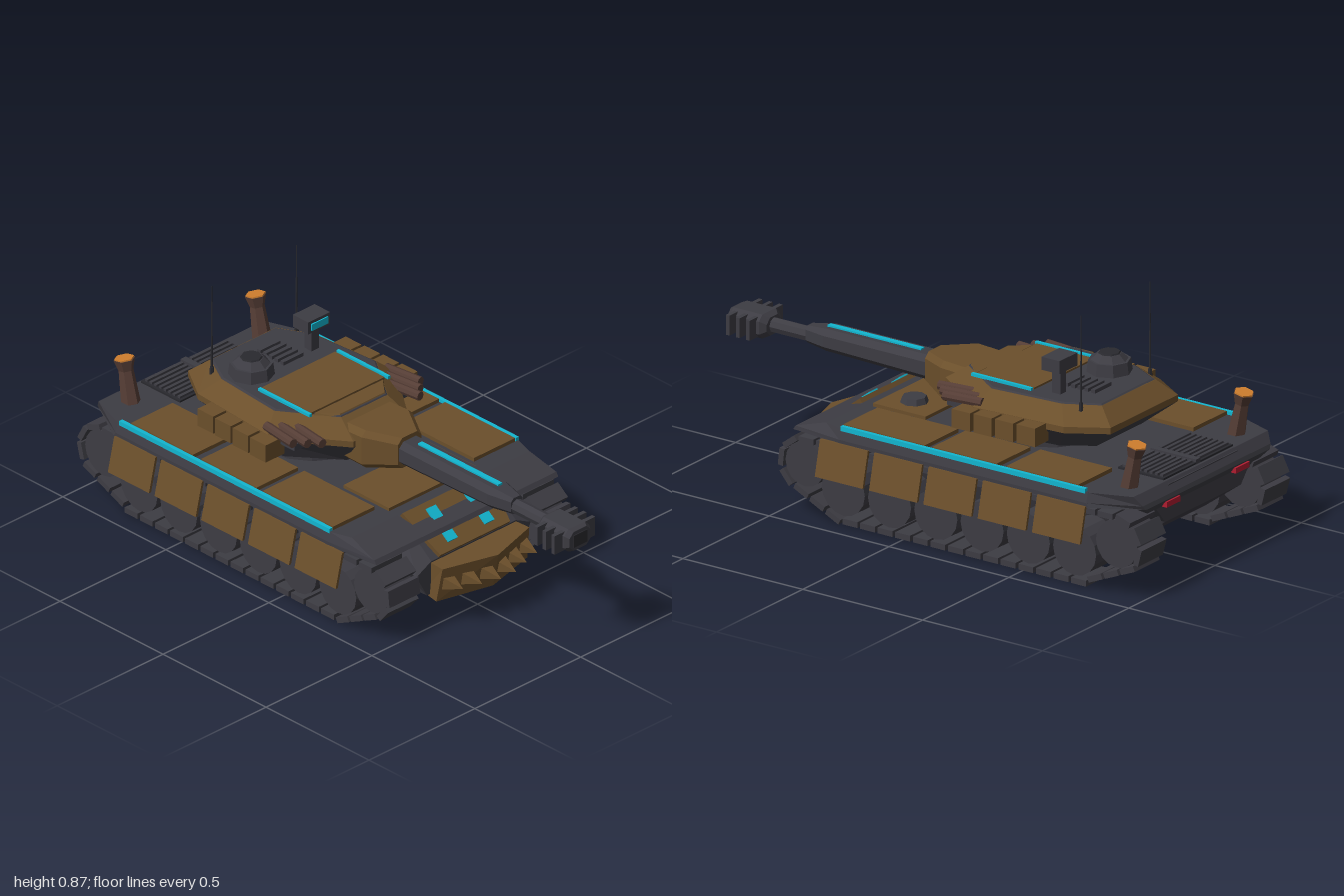
import * as THREE from 'three';

const mat = (name, color) => Object.assign(new THREE.MeshStandardMaterial({ color }), { name });

export function createModel() {
  const root = new THREE.Group();
  root.name = 'tank';
  const armor = mat('brown armor', 0x6b4f2b);
  const steel = mat('dark steel', 0x3d3c43);
  const black = mat('black recess', 0x29292e);
  const pipe = mat('rusty pipe', 0x553d35);
  const cyan = mat('cyan glow', 0x12b6d0);
  const orange = mat('orange heat', 0xd07f2e);
  const red = mat('red lamp', 0xb01c30);

  const add = (name, geo, m, x = 0, y = 0, z = 0, parent = root) => {
    const mesh = new THREE.Mesh(geo, m);
    mesh.name = name;
    mesh.position.set(x, y, z);
    parent.add(mesh);
    return mesh;
  };
  // Box given by its extents on each axis
  const block = (name, m, x0, x1, y0, y1, z0, z1) =>
    add(name, new THREE.BoxGeometry(Math.abs(x1 - x0), y1 - y0, z1 - z0), m, (x0 + x1) / 2, (y0 + y1) / 2, (z0 + z1) / 2);
  // Faceted cylinder with flat sides
  const prism = (rt, rb, h, n) => {
    const g = new THREE.CylinderGeometry(rt, rb, h, n).toNonIndexed();
    g.computeVertexNormals();
    return g;
  };
  // Closed flat-faced solid through convex rings; winding fixed by signed volume
  const loft = (rings) => {
    const tris = [], n = rings[0].length;
    for (let r = 0; r + 1 < rings.length; r++) {
      for (let i = 0; i < n; i++) {
        const j = (i + 1) % n, a = rings[r], b = rings[r + 1];
        tris.push([a[i], a[j], b[j]], [a[i], b[j], b[i]]);
      }
    }
    const last = rings[rings.length - 1];
    for (let i = 1; i + 1 < n; i++) {
      tris.push([rings[0][0], rings[0][i + 1], rings[0][i]], [last[0], last[i], last[i + 1]]);
    }
    const v = (p) => new THREE.Vector3(...p);
    const volume = tris.reduce((s, [a, b, c]) => s + v(a).dot(v(b).cross(v(c))), 0);
    if (volume < 0) tris.forEach((t) => t.reverse());
    const g = new THREE.BufferGeometry();
    g.setAttribute('position', new THREE.Float32BufferAttribute(tris.flat(2), 3));
    g.computeVertexNormals();
    return g;
  };
  // Symmetric horizontal outline from its right half [x, z]
  const plan = (y, half) => [...half.map(([x, z]) => [x, y, z]), ...half.slice().reverse().map(([x, z]) => [-x, y, z])];
  // Chamfered rectangular section across z
  const section = (w, y0, y1, z, c = 0.02) => [
    [w - c, y0, z], [w, y0 + c, z], [w, y1 - c, z], [w - c, y1, z],
    [c - w, y1, z], [-w, y1 - c, z], [-w, y0 + c, z], [c - w, y0, z]];

  // Lower hull: six-sided cross-sections along z
  const hullRing = (z, y0, ym, y1, k = 1) => [
    [0.22 * k, y0, z], [0.27 * k, ym, z], [0.2 * k, y1, z], [-0.2 * k, y1, z], [-0.27 * k, ym, z], [-0.22 * k, y0, z]];
  add('lowerHull', loft([hullRing(-0.95, 0.21, 0.27, 0.34), hullRing(-0.8, 0.1, 0.23, 0.35),
    hullRing(0.33, 0.1, 0.23, 0.35), hullRing(0.48, 0.11, 0.2, 0.235)]), steel);
  // Upper hull and fenders
  add('upperHull', loft([
    plan(0.3, [[0.36, -0.97], [0.455, -0.8], [0.455, 0.24], [0.43, 0.45]]),
    plan(0.315, [[0.37, -0.965], [0.455, -0.79], [0.455, 0.24], [0.43, 0.44]]),
    plan(0.35, [[0.39, -0.94], [0.445, -0.79], [0.445, 0.24], [0.42, 0.32]])]), steel);
  add('rearPlate', loft([
    plan(0.2, [[0.23, -0.9], [0.23, -0.8]]),
    plan(0.3, [[0.36, -0.97], [0.36, -0.8]])]), steel);

  // Glacis plate with two light panels lying on its slope
  const slope = (x, t, lift) => [x, 0.352 - 0.115 * t + lift, 0.33 + 0.15 * t + lift * 0.75];
  const slab = (xa0, xa1, xb0, xb1, t0, t1, l0, l1) => loft([l0, l1].map((l) =>
    [slope(xa0, t0, l), slope(xa1, t0, l), slope(xb1, t1, l), slope(xb0, t1, l)]));
  add('glacisPlate', slab(-0.2, 0.2, -0.165, 0.165, 0, 1, -0.01, 0.012), armor);
  for (const s of [1, -1]) {
    add('glacisLight', slab(s * 0.065, s * 0.108, s * 0.065, s * 0.108, 0.13, 0.85, 0.01, 0.018), cyan);
  }
  block('frontDeckPlate', armor, -0.205, 0.205, 0.345, 0.362, 0.06, 0.28);
  add('driverHatch', prism(0.042, 0.05, 0.022, 8), steel, 0.11, 0.372, 0.175);

  // Ram with spikes
  add('ram', loft([
    plan(0.1, [[0, 0.575], [0.215, 0.52], [0.2, 0.44]]),
    plan(0.23, [[0, 0.6], [0.205, 0.54], [0.2, 0.46]])]), armor);
  for (let i = 0; i < 6; i++) {
    const x = -0.175 + i * 0.07;
    const g = prism(0, 0.034, 0.08, 4);
    g.rotateY(Math.PI / 4).rotateX(Math.PI / 2);
    add('ramSpike', g, armor, x, 0.17, 0.621 - Math.abs(x) * 0.29);
  }

  // Engine grille
  block('engineGrille', black, -0.2, 0.2, 0.345, 0.357, -0.93, -0.74);
  block('grilleDivider', steel, -0.012, 0.012, 0.35, 0.367, -0.93, -0.74);

  const trackPath = new THREE.Path();
  trackPath.moveTo(-0.74, 0.011);
  trackPath.lineTo(0.27, 0.011);
  trackPath.absarc(0.41, 0.178, 0.091, -0.9, Math.PI / 2, false);
  trackPath.absarc(-0.89, 0.178, 0.099, Math.PI / 2, Math.PI + 0.9, false);
  trackPath.closePath();

  for (const s of [1, -1]) {
    // Running gear
    const pads = 44;
    for (let i = 0; i < pads; i++) {
      const p = trackPath.getPointAt(i / pads), t = trackPath.getTangentAt(i / pads);
      add('trackPad', new THREE.BoxGeometry(0.145, 0.021, 0.062), steel, s * 0.358, p.y, p.x).rotation.x = -Math.atan2(t.y, t.x);
    }
    const wheel = (name, r, y, z) => {
      add(name, prism(r, r, 0.12, 16), steel, s * 0.358, y, z).rotation.z = Math.PI / 2;
    };
    for (let i = 0; i < 6; i++) wheel('roadWheel', 0.09, 0.116, 0.25 - i * 0.193);
    wheel('frontWheel', 0.081, 0.178, 0.41);
    wheel('rearWheel', 0.086, 0.178, -0.89);

    // Side skirts, fender plates and light strips
    for (let i = 0; i < 5; i++) {
      const z0 = -0.79 + i * 0.2265, z1 = z0 + 0.2;
      const ring = (z) => [[s * 0.452, 0.303, z], [s * 0.462, 0.303, z], [s * 0.492, 0.176, z], [s * 0.482, 0.176, z]];
      add('skirtPlate', loft([ring(z0), ring(z1)]), armor);
    }
    for (const [z0, z1] of [[-0.74, -0.44], [-0.4, -0.13], [-0.1, 0.24]]) {
      block('fenderPlate', armor, s * 0.235, s * 0.43, 0.345, 0.364, z0, z1);
    }
    block('fenderLight', cyan, s * 0.433, s * 0.448, 0.345, 0.362, -0.78, 0.24);

    for (let i = 0; i < 8; i++) {
      const z = -0.92 + i * 0.0225;
      block('grilleSlat', steel, s * 0.02, s * 0.19, 0.355, 0.365, z, z + 0.012);
    }
    block('tailLamp', red, s * 0.16, s * 0.24, 0.272, 0.292, -0.972, -0.95);

    // Leaning exhausts with flared tops
    const stack = new THREE.Group();
    stack.name = 'exhaust';
    stack.position.set(s * 0.31, 0.345, -0.865);
    stack.rotation.x = -0.2;
    root.add(stack);
    add('exhaustPipe', prism(0.026, 0.034, 0.12, 6), pipe, 0, 0.06, 0, stack);
    add('exhaustFlare', prism(0.038, 0.026, 0.04, 6), pipe, 0, 0.14, 0, stack);
    add('exhaustGlow', prism(0.035, 0.035, 0.006, 6), orange, 0, 0.162, 0, stack);

    // Turret side boxes, launchers, strips and antennas
    for (let i = 0; i < 4; i++) {
      const z = -0.5 + i * 0.088;
      block('stowageBox', armor, s * 0.27, s * (0.35 + i * 0.003), 0.42, 0.487, z, z + 0.076);
    }
    for (let i = 0; i < 3; i++) {
      const g = prism(0.017, 0.017, 0.15, 8);
      g.rotateX(Math.PI / 2);
      add('smokeLauncher', g, pipe, s * (0.222 + i * 0.035), 0.502, -0.09 - i * 0.035).rotation.y = s * 0.12;
    }
    block('launcherMount', steel, s * 0.21, s * 0.29, 0.465, 0.49, -0.18, -0.09);
    block('turretLight', cyan, s * 0.179, s * 0.191, 0.545, 0.556, -0.37, -0.12);
    add('antennaBase', prism(0.007, 0.01, 0.05, 6), black, s * 0.2, 0.53, -0.585);
    add('antenna', prism(0.0015, 0.0045, 0.34, 6), black, s * 0.2, 0.7, -0.585);
  }

  // Turret: ring, dark underside, brown armored bevel, dark roof
  add('turretRing', prism(0.22, 0.22, 0.05, 16), steel, 0, 0.365, -0.3);
  const mid = [[0.195, -0.705], [0.28, -0.57], [0.305, -0.21], [0.13, 0.03]];
  const top = [[0.155, -0.64], [0.22, -0.52], [0.242, -0.24], [0.11, -0.05]];
  add('turretUnderside', loft([
    plan(0.38, [[0.13, -0.6], [0.2, -0.5], [0.238, -0.2], [0.1, -0.03]]), plan(0.465, mid)]), steel);
  add('turretArmor', loft([plan(0.465, mid), plan(0.488, mid), plan(0.542, top)]), armor);
  add('turretRoof', loft([plan(0.541, top), plan(0.546, top.map(([x, z]) => [x * 0.96, z * 0.98 - 0.005]))]), steel);
  block('roofPlate', armor, -0.173, 0.173, 0.543, 0.553, -0.37, -0.13);
  add('roofFrontPlate', loft([
    plan(0.54, [[0.165, -0.125], [0.11, -0.055]]), plan(0.55, [[0.16, -0.125], [0.105, -0.06]])]), armor);

  // Cupola, roof vents and sight
  add('cupola', prism(0.074, 0.08, 0.045, 8), steel, -0.125, 0.567, -0.47);
  add('cupolaLid', prism(0.042, 0.066, 0.022, 8), steel, -0.125, 0.6, -0.47);
  add('cupolaHatch', prism(0.036, 0.04, 0.006, 8), black, -0.125, 0.613, -0.47);
  for (let i = 0; i < 5; i++) {
    const z = -0.56 + i * 0.028;
    block('roofVentSlat', steel, -0.01, 0.085, 0.544, 0.559, z, z + 0.016);
  }
  block('sightPost', steel, 0.126, 0.16, 0.54, 0.64, -0.47, -0.435);
  block('sightHead', steel, 0.09, 0.193, 0.634, 0.681, -0.49, -0.415);
  block('sightLens', cyan, 0.104, 0.18, 0.644, 0.67, -0.416, -0.41);

  // Gun
  add('mantlet', loft([section(0.12, 0.39, 0.525, -0.08), section(0.12, 0.388, 0.533, 0.06),
    section(0.055, 0.405, 0.522, 0.17)]), armor);
  add('gunSleeve', loft([section(0.05, 0.415, 0.506, 0.1), section(0.05, 0.426, 0.506, 0.6),
    section(0.027, 0.432, 0.494, 0.69, 0.012)]), steel);
  block('gunLight', cyan, -0.01, 0.01, 0.5, 0.512, 0.22, 0.61);
  const barrel = prism(0.027, 0.027, 0.2, 8);
  barrel.rotateX(Math.PI / 2);
  add('barrel', barrel, steel, 0, 0.458, 0.76);
  add('muzzleBrake', loft([section(0.042, 0.425, 0.49, 0.84), section(0.059, 0.415, 0.502, 0.86),
    section(0.059, 0.415, 0.502, 0.98), section(0.05, 0.422, 0.495, 0.997)]), steel);
  block('bore', black, -0.032, 0.032, 0.435, 0.482, 0.994, 1);
  for (const z of [0.88, 0.922, 0.964]) block('muzzleFin', steel, -0.096, 0.096, 0.422, 0.494, z - 0.008, z + 0.008);

  return root;
}
